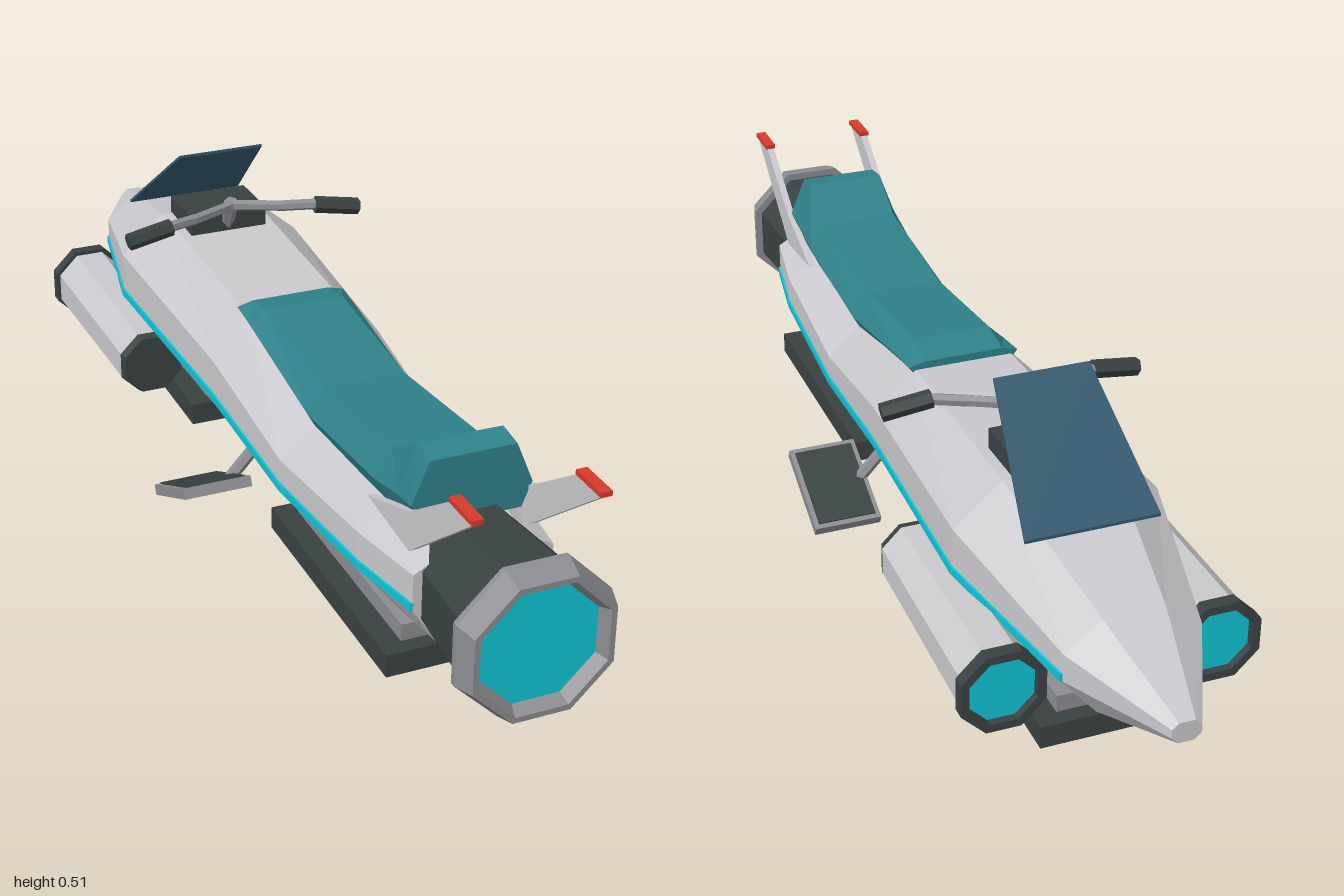
import * as THREE from 'three';

const mat = (name, color) => {
  const m = new THREE.MeshStandardMaterial({ color });
  m.name = name;
  return m;
};

export function createModel() {
  const root = new THREE.Group();
  root.name = 'hoverBike';
  const hullGrey = mat('hullGrey', 0xc9c9cd);
  const metal = mat('metalGrey', 0x8c8d91);
  const dark = mat('charcoal', 0x394241);
  const teal = mat('seatTeal', 0x2f818a);
  const glow = mat('glowCyan', 0x10c4d6);
  const glass = mat('visorBlue', 0x34596e);
  const red = mat('tipRed', 0xd63a2b);

  // Faceted mesh helper
  const add = (name, geo, material, parent = root) => {
    const g = geo.index ? geo.toNonIndexed() : geo;
    g.computeVertexNormals();
    const mesh = new THREE.Mesh(g, material);
    mesh.name = name;
    parent.add(mesh);
    return mesh;
  };

  // Skin over rings listed toward +z, each counterclockwise seen from +z
  const loft = (rings, use = () => true, caps = true) => {
    const pos = [];
    const n = rings[0].length;
    const tri = (a, b, c) => pos.push(...a, ...b, ...c);
    for (let i = 0; i < rings.length - 1; i++) {
      for (let j = 0; j < n; j++) {
        if (!use(j)) continue;
        const k = (j + 1) % n;
        const a = rings[i][j], b = rings[i][k], c = rings[i + 1][k], d = rings[i + 1][j];
        tri(a, b, c);
        tri(a, c, d);
      }
    }
    const first = rings[0], last = rings[rings.length - 1];
    for (let j = 1; caps && j < n - 1; j++) {
      tri(first[0], first[j + 1], first[j]);
      tri(last[0], last[j], last[j + 1]);
    }
    const g = new THREE.BufferGeometry();
    g.setAttribute('position', new THREE.Float32BufferAttribute(pos, 3));
    return g;
  };

  const box = (name, w, h, d, x, y, z, material, parent) => {
    const m = add(name, new THREE.BoxGeometry(w, h, d), material, parent);
    m.position.set(x, y, z);
    return m;
  };

  const rod = (name, a, b, r, material, sides = 6) => {
    const p = new THREE.Vector3(...a), q = new THREE.Vector3(...b);
    const dir = q.clone().sub(p);
    const m = add(name, new THREE.CylinderGeometry(r, r, dir.length(), sides), material);
    m.position.copy(p).add(q).multiplyScalar(0.5);
    m.quaternion.setFromUnitVectors(new THREE.Vector3(0, 1, 0), dir.normalize());
    return m;
  };

  // Octagonal parts along z, sized by the distance to their flats
  const flatR = (r) => r / Math.cos(Math.PI / 8);
  const octCyl = (rBack, rFront, z0, z1) =>
    new THREE.CylinderGeometry(flatR(rFront), flatR(rBack), z1 - z0, 8)
      .rotateY(Math.PI / 8).rotateX(Math.PI / 2).translate(0, 0, (z0 + z1) / 2);
  const octLathe = (profile) =>
    new THREE.LatheGeometry(profile.map(([r, z]) => new THREE.Vector2(flatR(r), z)), 8, Math.PI / 8)
      .rotateX(Math.PI / 2);

  // Hull: z, half width, top half width, bottom half width, top, upper ridge, lower ridge, bottom
  const sections = [
    [-1, 0.026, 0.014, 0.014, 0.208, 0.198, 0.182, 0.17],
    [-0.8, 0.122, 0.055, 0.06, 0.278, 0.228, 0.175, 0.098],
    [-0.48, 0.19, 0.1, 0.1, 0.362, 0.285, 0.195, 0.052],
    [0, 0.17, 0.095, 0.095, 0.342, 0.262, 0.18, 0.06],
    [0.315, 0.16, 0.088, 0.09, 0.275, 0.21, 0.15, 0.08],
    [0.63, 0.15, 0.085, 0.085, 0.288, 0.24, 0.173, 0.088],
    [0.79, 0.125, 0.07, 0.07, 0.275, 0.245, 0.178, 0.095],
  ];
  const hullRings = sections.map(([z, w, t, b, yT, yU, yL, yB]) => [
    [w, yL, z], [w, yU, z], [t, yT, z], [-t, yT, z],
    [-w, yU, z], [-w, yL, z], [-b, yB, z], [b, yB, z],
  ]);
  add('hull', loft(hullRings, (j) => j !== 6), hullGrey);
  add('hullUnderside', loft(hullRings, (j) => j === 6, false), dark);

  // Glowing side stripes along the lower ridge
  for (const s of [1, -1]) {
    const rings = sections.slice(1).map(([z, w, , , , , yL]) => {
      const r = [[w + 0.004, yL], [w + 0.004, yL + 0.015], [w - 0.003, yL + 0.015], [w - 0.003, yL]]
        .map(([x, y]) => [s * x, y, z]);
      return s > 0 ? r : r.reverse();
    });
    add('sideStripe', loft(rings), glow);
  }

  // Seat: z, top, side edge, base
  const seatRings = [
    [-0.03, 0.358, 0.35, 0.325],
    [0.04, 0.37, 0.34, 0.315],
    [0.315, 0.34, 0.292, 0.26],
    [0.6, 0.367, 0.315, 0.275],
    [0.69, 0.422, 0.335, 0.285],
    [0.74, 0.415, 0.34, 0.295],
  ].map(([z, t, m, b]) => [
    [0.108, m, z], [0.077, t, z], [-0.077, t, z], [-0.108, m, z], [-0.09, b, z], [0.09, b, z],
  ]);
  add('seat', loft(seatRings), teal);

  // Rear engine with flared nozzle and glowing exhaust
  const engine = new THREE.Group();
  engine.name = 'engine';
  engine.position.y = 0.204;
  root.add(engine);
  add('engineCasing', octCyl(0.1, 0.12, 0.66, 0.955), dark, engine);
  add('nozzleRing', octLathe([[0.1, 0.95], [0.134, 0.95], [0.134, 0.96], [0.122, 1], [0.112, 1], [0.1, 0.975]]), metal, engine);
  add('exhaustGlow', octCyl(0.101, 0.101, 0.972, 0.978), glow, engine);

  for (const s of [1, -1]) {
    // Tail fins with red tips
    const fin = new THREE.Shape();
    [[0.965, 0.434], [0.89, 0.434], [0.745, 0.335], [0.59, 0.28], [0.75, 0.265]]
      .forEach(([z, y], i) => (i ? fin.lineTo(-z, y) : fin.moveTo(-z, y)));
    const finGeo = new THREE.ExtrudeGeometry(fin, { depth: 0.014, bevelEnabled: false })
      .rotateY(Math.PI / 2).translate(s * 0.108 - 0.007, 0, 0);
    add('tailFin', finGeo, hullGrey);
    box('finTip', 0.02, 0.009, 0.078, s * 0.108, 0.437, 0.927, red);

    // Front side thrusters
    const pod = new THREE.Group();
    pod.name = 'sideThruster';
    pod.position.set(s * 0.195, 0.126, 0);
    pod.rotation.y = Math.PI;
    root.add(pod);
    add('thrusterBody', octCyl(0.062, 0.068, 0.3, 0.715), hullGrey, pod);
    add('thrusterBackCap', octCyl(0.058, 0.063, 0.285, 0.302), dark, pod);
    add('thrusterRing', octLathe([[0.058, 0.71], [0.075, 0.71], [0.075, 0.735], [0.06, 0.735], [0.058, 0.716]]), dark, pod);
    add('thrusterGlow', octCyl(0.06, 0.06, 0.714, 0.722), glow, pod);

    // Tilted footrests with dark pads
    const rest = new THREE.Group();
    rest.name = 'footrest';
    rest.position.set(s * 0.226, 0.051, 0.086);
    rest.rotation.x = -Math.atan2(0.082, 0.17);
    root.add(rest);
    box('footPlate', 0.132, 0.02, 0.188, 0, 0, 0, metal, rest);
    box('footPad', 0.114, 0.006, 0.168, 0, 0.01, 0, dark, rest);
    rod('footrestBracket', [s * 0.12, 0.115, 0.09], [s * 0.185, 0.045, 0.09], 0.012, metal);

    // Handlebar half and grip
    rod('handlebar', [0, 0.418, -0.345], [s * 0.1, 0.42, -0.297], 0.011, metal);
    rod('handlebarEnd', [s * 0.095, 0.42, -0.3], [s * 0.16, 0.423, -0.275], 0.011, metal);
    rod('grip', [s * 0.152, 0.423, -0.275], [s * 0.243, 0.408, -0.268], 0.017, dark);
  }

  // Steering stem and dash
  rod('steeringStem', [0, 0.36, -0.38], [0, 0.425, -0.345], 0.015, metal);
  box('dash', 0.16, 0.04, 0.125, 0, 0.376, -0.425, dark);

  // Sloped visor, wide at the base
  const visorRing = (w, y, z) => [[w, y, z], [w, y + 0.006, z], [-w, y + 0.006, z], [-w, y, z]];
  add('visor', loft([visorRing(0.122, 0.333, -0.633), visorRing(0.088, 0.51, -0.403)]), glass);

  // Hover pads with glowing undersides
  for (const [name, z0, z1] of [['frontHoverPad', -0.76, -0.21], ['rearHoverPad', 0.22, 0.73]]) {
    const zc = (z0 + z1) / 2, len = z1 - z0;
    box(name, 0.28, 0.043, len, 0, 0.036, zc, dark);
    box(name + 'Mount', 0.2, 0.035, len - 0.06, 0, 0.072, zc, metal);
    box(name + 'Glow', 0.268, 0.006, len - 0.012, 0, 0.0135, zc, glow);
  }
  return root;
}
